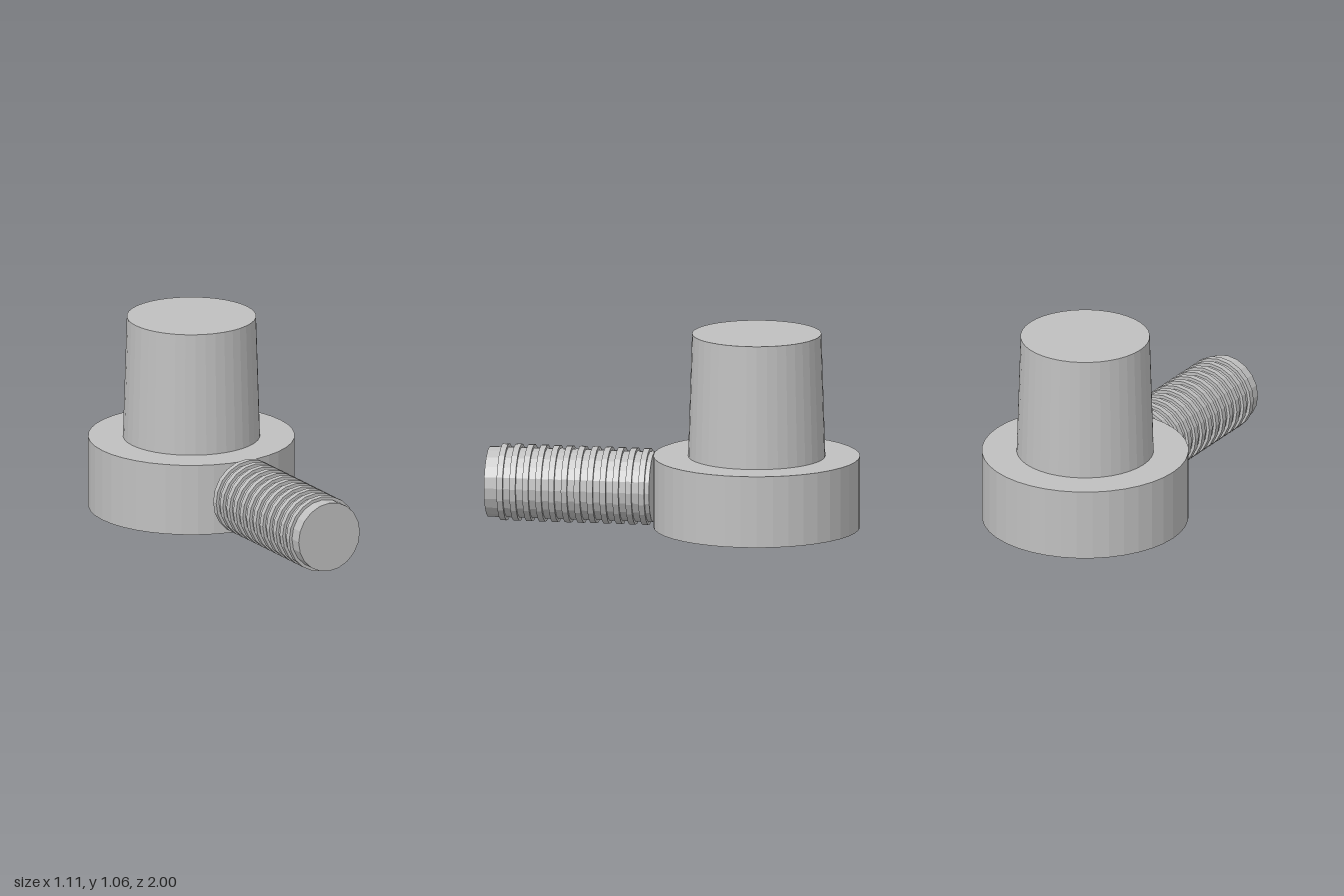
import * as THREE from 'three';

export function createModel() {
  const group = new THREE.Group();
  const metal = new THREE.MeshStandardMaterial({ color: 0xc0c0c0 });
  metal.name = 'plain grey';
  metal.flatShading = true;

  const BASE_Z = -0.447;
  const ROD_Y = 0.21;
  const ROD_START = 0.107;

  function add(name, geometry, y, z) {
    const mesh = new THREE.Mesh(geometry, metal);
    mesh.name = name;
    mesh.position.set(0, y, z);
    group.add(mesh);
  }

  // Wide round base with a tapered post on top
  add('base', new THREE.CylinderGeometry(0.553, 0.553, 0.388, 40), 0.204, BASE_Z);
  add('taperedPost', new THREE.CylinderGeometry(0.346, 0.367, 0.667, 40), 0.7315, BASE_Z);

  // Rod pointing forward, its profile stepping out at each of the twelve ridges
  const core = 0.19, ridge = 0.207, halfWidth = 0.016;
  const profile = [new THREE.Vector2(0, ROD_START), new THREE.Vector2(core, ROD_START)];
  for (let i = 0; i < 12; i++) {
    const z = 0.147 + i * 0.0697;
    profile.push(
      new THREE.Vector2(core, z - halfWidth),
      new THREE.Vector2(ridge, z - halfWidth),
      new THREE.Vector2(ridge, z + halfWidth),
      new THREE.Vector2(core, z + halfWidth)
    );
  }
  profile.push(new THREE.Vector2(core, 1), new THREE.Vector2(0, 1));
  add('ridgedRod', new THREE.LatheGeometry(profile, 20).rotateX(Math.PI / 2), ROD_Y, 0);

  return group;
}
